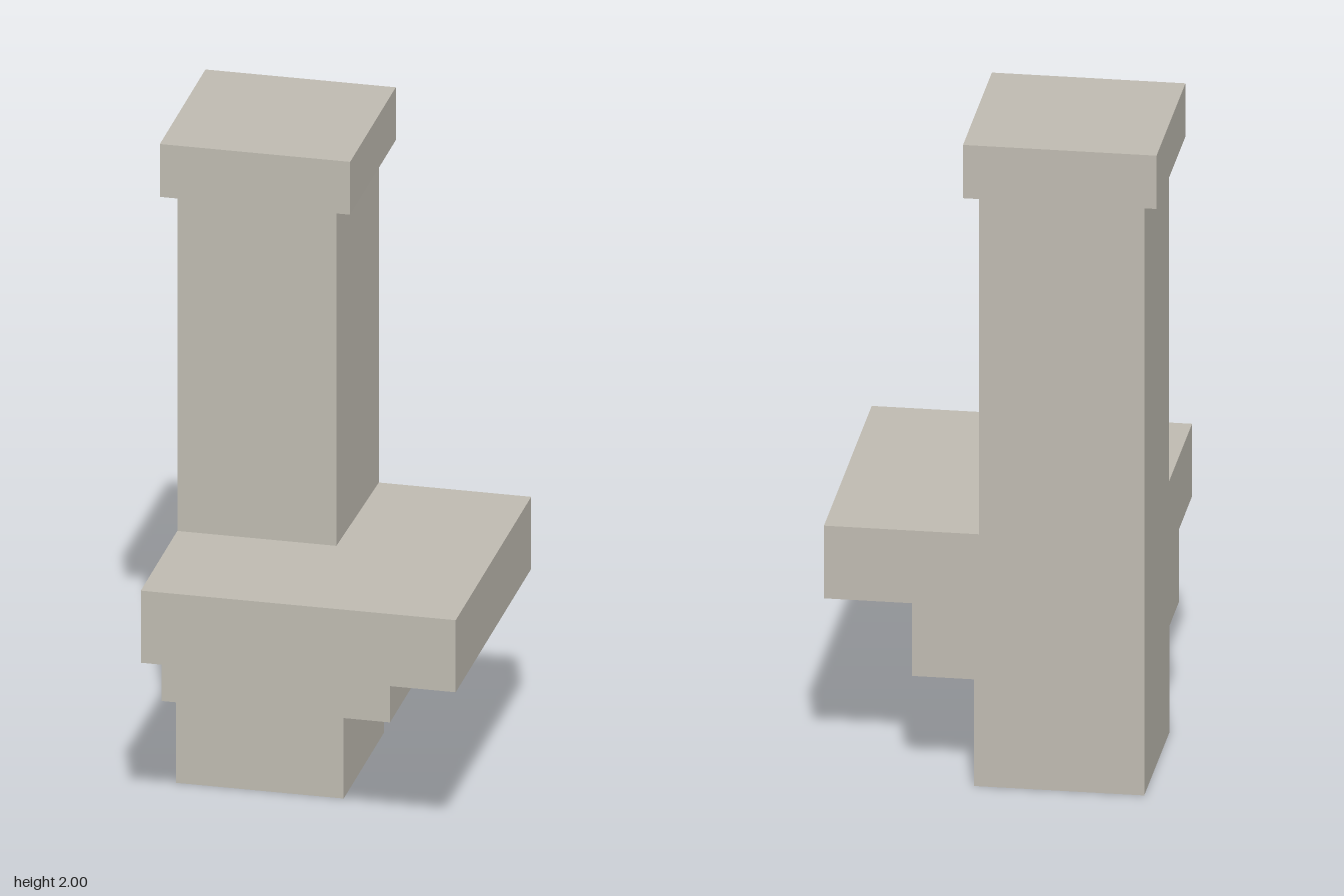
import * as THREE from 'three';

export function createModel() {
  const group = new THREE.Group();
  const stone = new THREE.MeshStandardMaterial({ color: 0xbfbbb1 });
  stone.name = 'paleStone';

  // Square block spanning min..max in both x and z
  const block = (name, min, max, bottom, top) => {
    const size = max - min;
    const mesh = new THREE.Mesh(new THREE.BoxGeometry(size, top - bottom, size), stone);
    mesh.name = name;
    mesh.position.set((min + max) / 2, (bottom + top) / 2, (min + max) / 2);
    group.add(mesh);
    return mesh;
  };

  // All tiers share the back right corner and step outwards to the front left
  const corner = -0.445;
  block('base', corner, 0.05, 0, 0.33);
  block('lowerCorbel', corner, 0.23, 0.33, 0.555);
  block('upperCorbel', corner, 0.485, 0.555, 0.78);
  const shaft = block('shaft', corner, 0.035, 0.78, 1.835);
  block('cap', -0.487, 0.075, 1.835, 2);

  // The shaft's front left edge sits slightly inwards
  const p = shaft.geometry.attributes.position;
  for (let i = 0; i < p.count; i++) {
    if (p.getX(i) > 0 && p.getZ(i) > 0) p.setX(i, p.getX(i) - 0.01);
  }
  shaft.geometry.computeVertexNormals();

  return group;
}
